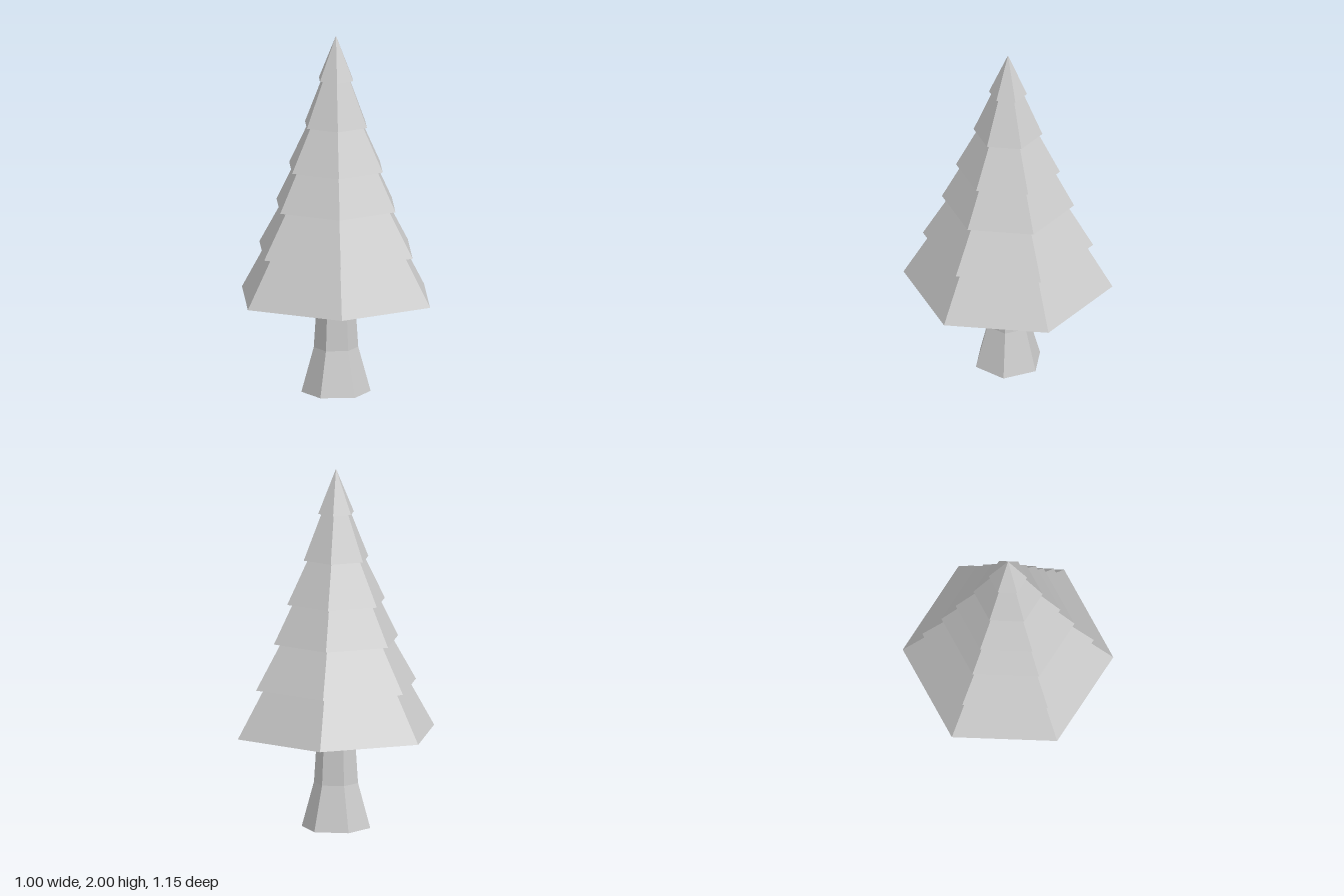
import * as THREE from 'three';

const SIDES = 6;

// Six-sided faceted solid turned from a bottom-to-top profile of [radius, y]
function hexSolid(name, profile, material, phase) {
  const points = profile.map(([r, y]) => new THREE.Vector2(r, y));
  const geometry = new THREE.LatheGeometry(points, SIDES, phase).toNonIndexed();
  geometry.computeVertexNormals();
  const mesh = new THREE.Mesh(geometry, material);
  mesh.name = name;
  return mesh;
}

export function createModel() {
  const tree = new THREE.Group();
  tree.name = 'pineTree';

  const grey = new THREE.MeshStandardMaterial({ color: 0xcccccc });
  grey.name = 'plain grey';

  // Trunk with a flared foot, flat side to the front
  tree.add(hexSolid('trunk', [[0, 0], [0.19, 0], [0.122, 0.25], [0.104, 0.53]], grey, Math.PI / 6));

  // Foliage tiers: [bottom radius, top radius, bottom height], corner to the front
  const tiers = [
    [0.577, 0.425, 0.53],
    [0.47, 0.325, 0.795],
    [0.365, 0.255, 1.045],
    [0.287, 0.167, 1.26],
    [0.19, 0.085, 1.5],
    [0.105, 0, 1.755],
  ];
  const profile = [[0, tiers[0][2]]];
  tiers.forEach(([bottom, top, y], i) => {
    const topY = i + 1 < tiers.length ? tiers[i + 1][2] : 2;
    profile.push([bottom, y], [top, topY]);
  });
  tree.add(hexSolid('foliage', profile, grey, 0));

  return tree;
}
